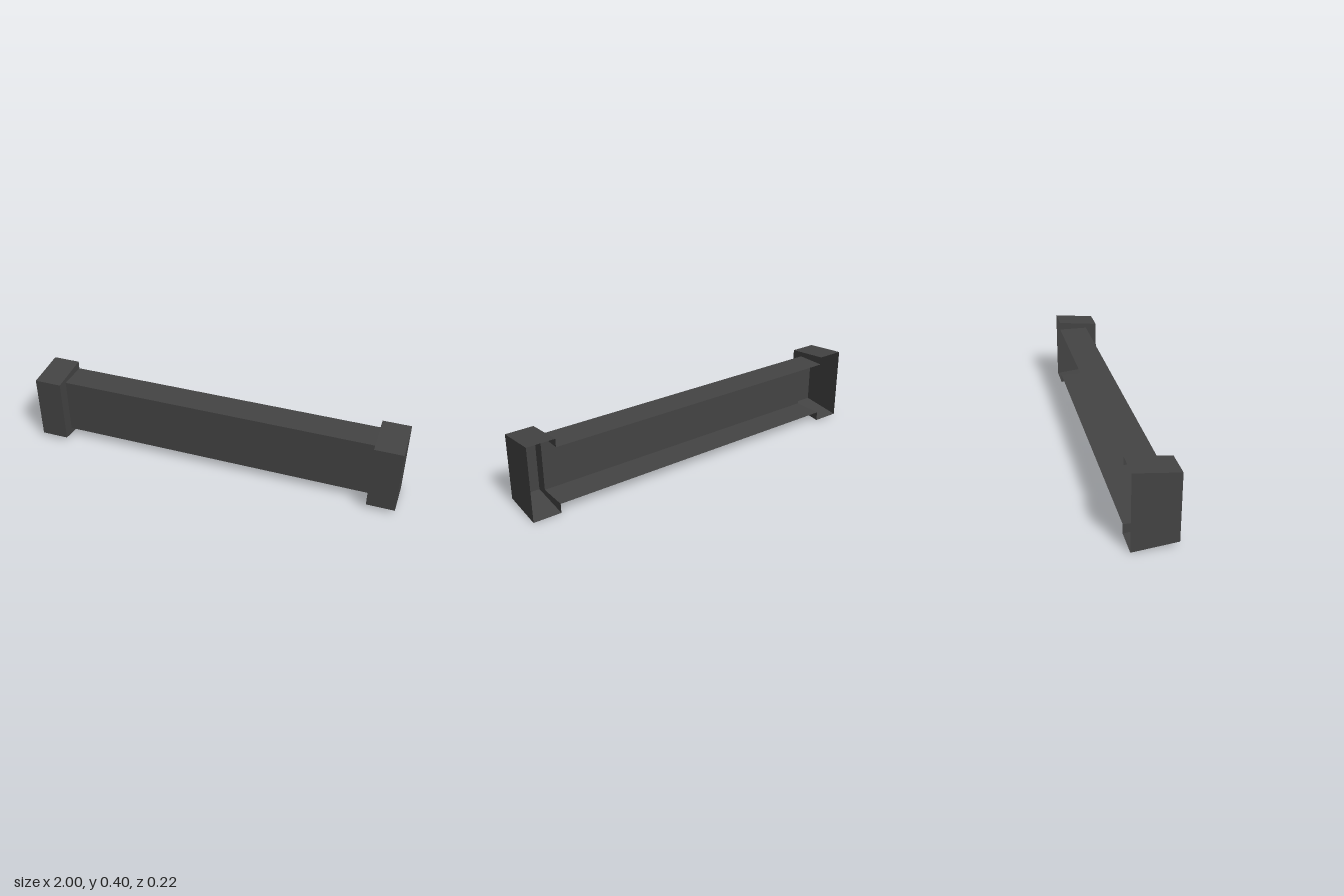
import * as THREE from 'three';

// Open-backed shell: every panel is a thin surface visible from both sides.
const charcoal = new THREE.MeshStandardMaterial({ color: 0x444444, side: THREE.DoubleSide });
charcoal.name = 'charcoal';

// Profiles as [z, y], running from the top back edge round the front to the bottom back edge
const BACK = -0.112;
const barProfile = [[BACK, 0.355], [0.05, 0.355], [0.05, 0.05], [BACK, 0.05]];
const capProfile = [[BACK, 0.398], [0.112, 0.375], [0.112, 0.025], [BACK, 0]];

function part(name, geometry) {
  const mesh = new THREE.Mesh(geometry, charcoal);
  mesh.name = name;
  return mesh;
}

// Sweep a profile along x, leaving the back and both ends open
function channel(profile, x0, x1) {
  const positions = [];
  for (let i = 0; i < profile.length - 1; i++) {
    const [za, ya] = profile[i];
    const [zb, yb] = profile[i + 1];
    const a = [x0, ya, za], b = [x0, yb, zb], c = [x1, yb, zb], d = [x1, ya, za];
    positions.push(...a, ...b, ...c, ...a, ...c, ...d);
  }
  const geometry = new THREE.BufferGeometry();
  geometry.setAttribute('position', new THREE.Float32BufferAttribute(positions, 3));
  geometry.computeVertexNormals();
  return geometry;
}

// Flat plate across x, drawn from a [z, y] outline; side is the way it faces
function plate(outline, x, side) {
  const shape = new THREE.Shape(outline.map(([z, y]) => new THREE.Vector2(-side * z, y)));
  return new THREE.ShapeGeometry(shape).rotateY(side * Math.PI / 2).translate(x, 0, 0);
}

export function createModel() {
  const model = new THREE.Group();
  model.name = 'bumper';
  model.add(part('crossBar', channel(barProfile, -0.853, 0.853)));

  for (const side of [-1, 1]) {
    const cap = new THREE.Group();
    cap.name = side > 0 ? 'leftEndCap' : 'rightEndCap';
    const inner = side * 0.853, outer = side;
    cap.add(
      part('capShell', channel(capProfile, Math.min(inner, outer), Math.max(inner, outer))),
      part('capEndWall', plate(capProfile, outer, side)),
      // Step between the cap and the bar
      part('capStepWall', plate([...capProfile, ...[...barProfile].reverse()], inner, -side)),
    );
    model.add(cap);
  }
  return model;
}
